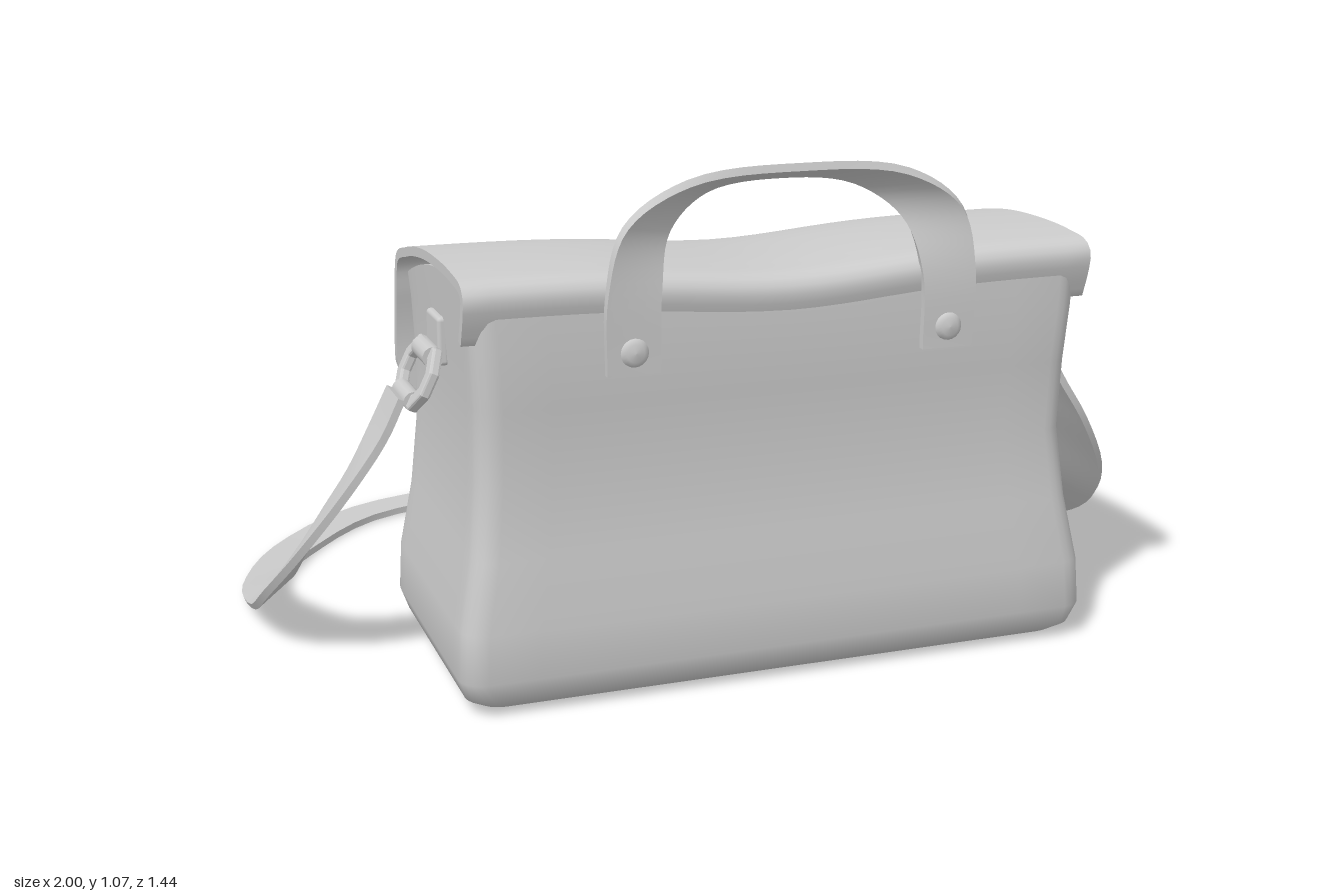
import * as THREE from 'three';
import { toCreasedNormals } from 'three/addons/utils/BufferGeometryUtils.js';
import { RoundedBoxGeometry } from 'three/addons/geometries/RoundedBoxGeometry.js';

const V = (x, y, z) => new THREE.Vector3(x, y, z);
const material = new THREE.MeshStandardMaterial({ color: 0xcccccc, roughness: 0.7 });

function add(parent, name, geometry, x = 0, y = 0, z = 0) {
  const mesh = new THREE.Mesh(geometry, material);
  mesh.name = name;
  mesh.position.set(x, y, z);
  parent.add(mesh);
  return mesh;
}

// Skin closed rings of points, cap both ends, and turn the faces outward
function loft(rings, crease = 0.7) {
  const n = rings[0].length, points = rings.flat(), index = [];
  for (let i = 0; i < rings.length - 1; i++) {
    for (let j = 0; j < n; j++) {
      const a = i * n + j, b = i * n + (j + 1) % n;
      index.push(a, b, b + n, a, b + n, a + n);
    }
  }
  [0, rings.length - 1].forEach((r, end) => {
    const c = points.length;
    points.push(rings[r].reduce((s, p) => s.add(p), V(0, 0, 0)).divideScalar(n));
    for (let j = 0; j < n; j++) {
      const a = r * n + j, b = r * n + (j + 1) % n;
      index.push(c, end ? a : b, end ? b : a);
    }
  });
  let volume = 0;
  for (let i = 0; i < index.length; i += 3) {
    const [a, b, c] = [0, 1, 2].map(k => points[index[i + k]]);
    volume += a.dot(b.clone().cross(c));
  }
  if (volume < 0) index.reverse();
  const g = new THREE.BufferGeometry().setFromPoints(points);
  g.setIndex(index);
  return toCreasedNormals(g, crease);
}

// Leather band between two edge paths
function band(edgeA, edgeB, thickness, steps) {
  const a = new THREE.CatmullRomCurve3(edgeA), b = new THREE.CatmullRomCurve3(edgeB), rings = [];
  for (let i = 0; i <= steps; i++) {
    const t = i / steps, p = a.getPoint(t), q = b.getPoint(t);
    const n = a.getTangent(t).add(b.getTangent(t)).cross(q.clone().sub(p)).setLength(thickness / 2);
    rings.push([p.clone().add(n), q.clone().add(n), q.clone().sub(n), p.clone().sub(n)]);
  }
  return loft(rings);
}

// Flat metal frame with clipped corners
function frame(w, h, clip, bar) {
  const outline = (x, y, c) => [[x, y - c], [x - c, y], [c - x, y], [-x, y - c],
    [-x, c - y], [c - x, -y], [x - c, -y], [x, c - y]].map(p => new THREE.Vector2(...p));
  const shape = new THREE.Shape(outline(w / 2, h / 2, clip));
  shape.holes.push(new THREE.Path(outline(w / 2 - bar, h / 2 - bar, clip * 0.6).reverse()));
  return new THREE.ExtrudeGeometry(shape, { depth: 0.012, bevelEnabled: true,
    bevelSize: 0.005, bevelThickness: 0.005, bevelSegments: 2 }).translate(0, 0, -0.006);
}

const rivet = r => new THREE.LatheGeometry([[0, 0.014], [r * 0.6, 0.012], [r * 0.95, 0.005], [r, -0.006]]
  .map(p => new THREE.Vector2(...p)).reverse(), 20);

// Sag of the top across the middle
const sag = x => 0.028 * Math.exp(-((x / 0.27) ** 2));

function bodyGeometry() {
  // y, half width, front z, back z
  const levels = [[0.008, 0.61, 0.635, 0.135], [0.014, 0.645, 0.665, 0.10], [0.035, 0.672, 0.692, 0.077],
    [0.08, 0.688, 0.705, 0.066], [0.18, 0.682, 0.70, 0.064], [0.32, 0.655, 0.682, 0.068],
    [0.47, 0.64, 0.664, 0.073], [0.62, 0.64, 0.676, 0.082], [0.74, 0.648, 0.683, 0.092], [0, 0.655, 0.68, 0.10]];
  return loft(levels.map(([y, w, front, back], level) => {
    const ring = [], r = 0.05, d = front - back, mid = (front + back) / 2;
    const corners = [[1, 1], [-1, 1], [-1, -1], [1, -1]];
    corners.forEach(([sx, sz], k) => {
      for (let i = 0; i <= 5; i++) {
        const t = (k + i / 5) * Math.PI / 2;
        ring.push(V(sx * (w - r) + r * Math.cos(t), y, mid + sz * (d / 2 - r) + r * Math.sin(t)));
      }
      // Straight run towards the next corner
      const [ex, ez] = corners[(k + 1) % 4], from = ring[ring.length - 1];
      const to = k % 2 === 0 ? V(ex * (w - r), y, from.z) : V(from.x, y, mid + ez * (d / 2 - r));
      for (let i = 1; i < 12; i++) ring.push(from.clone().lerp(to, i / 12));
    });
    if (level === levels.length - 1) {
      for (const p of ring) p.y = 0.862 - 0.55 * (p.z - 0.49) ** 2 - sag(p.x);
    }
    return ring;
  }), 0.9);
}

function flapGeometry() {
  // Front edge, over the domed top, down the back
  const path = new THREE.CatmullRomCurve3([[0.755, 0.662], [0.81, 0.682], [0.85, 0.688], [0.873, 0.668],
    [0.885, 0.59], [0.889, 0.49], [0.883, 0.34], [0.858, 0.19], [0.822, 0.085], [0.74, 0.06], [0.63, 0.042],
    [0.47, 0.045], [0.31, 0.056]].map(([y, z]) => V(0, y, z)), false, 'centripetal');
  const rings = [], rows = 70, cols = 24;
  for (let i = 0; i <= rows; i++) {
    const p = path.getPointAt(i / rows), t = path.getTangentAt(i / rows);
    const onBack = p.z < 0.2;
    // Clipped lower corners
    const k = onBack ? THREE.MathUtils.clamp((0.58 - p.y) / 0.27, 0, 1) : 0;
    const half = 0.667 - 0.09 * k - 0.15 * k ** 6;
    const outer = [], inner = [];
    for (let j = 0; j <= cols; j++) {
      const x = half * (2 * j / cols - 1);
      const drop = onBack ? sag(x) * THREE.MathUtils.clamp((p.y - 0.5) / 0.3, 0, 1) : sag(x);
      const dent = onBack ? 0.6 * drop : 0;
      outer.push(V(x, p.y - drop, p.z + dent));
      inner.push(V(x, p.y - drop + t.z * 0.02, p.z + dent - t.y * 0.02));
    }
    rings.push([...outer, ...inner.reverse()]);
  }
  return loft(rings, 0.8);
}

function buildHandle(bag) {
  const half = (pts, s) => pts.map(([x, y, z]) => V(s * x, y, z));
  const arch = pts => [...half(pts, -1), ...half(pts.slice(0, -1), 1).reverse()];
  const outer = arch([[0.39, 0.68, 0.694], [0.39, 0.84, 0.702], [0.355, 0.97, 0.71], [0.23, 1.05, 0.717], [0, 1.07, 0.718]]);
  const inner = arch([[0.28, 0.68, 0.694], [0.278, 0.84, 0.69], [0.25, 0.95, 0.65], [0.16, 1.02, 0.617], [0, 1.04, 0.612]]);
  add(bag, 'handle', band(outer, inner, 0.016, 48));
  for (const s of [-1, 1]) add(bag, 'handleRivet', rivet(0.03), s * 0.335, 0.725, 0.7).rotation.x = Math.PI / 2;
}

function buildClosure(bag) {
  // Strap down the flap with a curled, tapering end: y, z, half width
  const path = [[0.60, 0.034, 0.025], [0.585, 0.033, 0.045], [0.56, 0.032, 0.05], [0.45, 0.03, 0.05],
    [0.33, 0.03, 0.05], [0.25, 0.02, 0.05], [0.18, 0.03, 0.05], [0.13, 0.005, 0.05], [0.1, -0.05, 0.046],
    [0.088, -0.1, 0.034], [0.085, -0.125, 0.014]];
  const edge = s => path.map(([y, z, w]) => V(s * w, y, z));
  add(bag, 'closureStrap', band(edge(-1), edge(1), 0.016, 44));
  add(bag, 'closureRivet', rivet(0.028), 0, 0.54, 0.022).rotation.x = -Math.PI / 2;
  add(bag, 'closureBuckle', frame(0.145, 0.13, 0.02, 0.022), 0, 0.25, 0.018).rotation.x = 0.12;
  add(bag, 'bucklePin', new THREE.CylinderGeometry(0.007, 0.007, 0.11, 8), 0, 0.25, 0.004);
  add(bag, 'strapKeeper', new RoundedBoxGeometry(0.118, 0.035, 0.035, 2, 0.008), 0, 0.335, 0.032);
}

function buildSideMount(bag, s) {
  const mount = new THREE.Group();
  mount.name = s > 0 ? 'leftStrapMount' : 'rightStrapMount';
  bag.add(mount);
  add(mount, 'mountTab', new RoundedBoxGeometry(0.024, 0.1, 0.105, 2, 0.009), s * 0.65, 0.712, 0.393);
  add(mount, 'tabLoop', new THREE.CylinderGeometry(0.022, 0.022, 0.105, 14), s * 0.672, 0.682, 0.393).rotation.x = Math.PI / 2;
  const tilt = new THREE.Group();
  tilt.position.set(s * 0.693, 0.64, 0.393);
  tilt.rotation.z = s * 0.45;
  tilt.name = 'ringPivot';
  mount.add(tilt);
  add(tilt, 'strapRing', frame(0.21, 0.125, 0.04, 0.022)).rotation.y = Math.PI / 2;
  add(mount, 'strapLoop', new THREE.CylinderGeometry(0.02, 0.02, 0.112, 14), s * 0.715, 0.595, 0.39).rotation.x = Math.PI / 2;
  add(mount, 'strapRivet', rivet(0.022), s * 0.752, 0.55, 0.388).rotation.z = -s * (Math.PI / 2 - 0.55);
}

function buildShoulderStrap(model) {
  // Hanging ends mirror each other; the loop between lies on the ground
  const hangA = [[0.725, 0.60, 0.445], [0.765, 0.52, 0.445], [0.84, 0.41, 0.432], [0.93, 0.27, 0.365], [0.985, 0.155, 0.25], [0.995, 0.07, 0.10]];
  const hangB = [[0.725, 0.60, 0.332], [0.765, 0.52, 0.332], [0.81, 0.43, 0.325], [0.87, 0.31, 0.27], [0.90, 0.20, 0.18], [0.905, 0.12, 0.06]];
  const groundA = [[0.95, -0.08], [0.84, -0.27], [0.68, -0.40], [0.40, -0.54], [0.03, -0.67], [-0.32, -0.72],
    [-0.64, -0.64], [-0.88, -0.40], [-0.985, -0.14]];
  const groundB = [[0.87, -0.06], [0.76, -0.23], [0.62, -0.335], [0.36, -0.46], [0, -0.595], [-0.31, -0.635],
    [-0.60, -0.56], [-0.80, -0.35], [-0.905, -0.12]];
  const edge = (hang, ground, lift) => [
    ...hang.map(p => V(...p)),
    ...ground.map(([x, z], i) => V(x, i === 0 || i === ground.length - 1 ? lift : 0.016, z)),
    ...hang.map(([x, y, z]) => V(-x, y, z)).reverse(),
  ];
  add(model, 'shoulderStrap', band(edge(hangA, groundA, 0.026), edge(hangB, groundB, 0.045), 0.016, 80));
}

export function createModel() {
  const model = new THREE.Group();
  model.name = 'satchel';
  const bag = new THREE.Group();
  bag.name = 'bag';
  bag.position.x = 0.013;
  model.add(bag);
  add(bag, 'body', bodyGeometry());
  add(bag, 'flap', flapGeometry());
  buildHandle(bag);
  buildClosure(bag);
  for (const s of [-1, 1]) buildSideMount(bag, s);
  buildShoulderStrap(model);
  return model;
}
